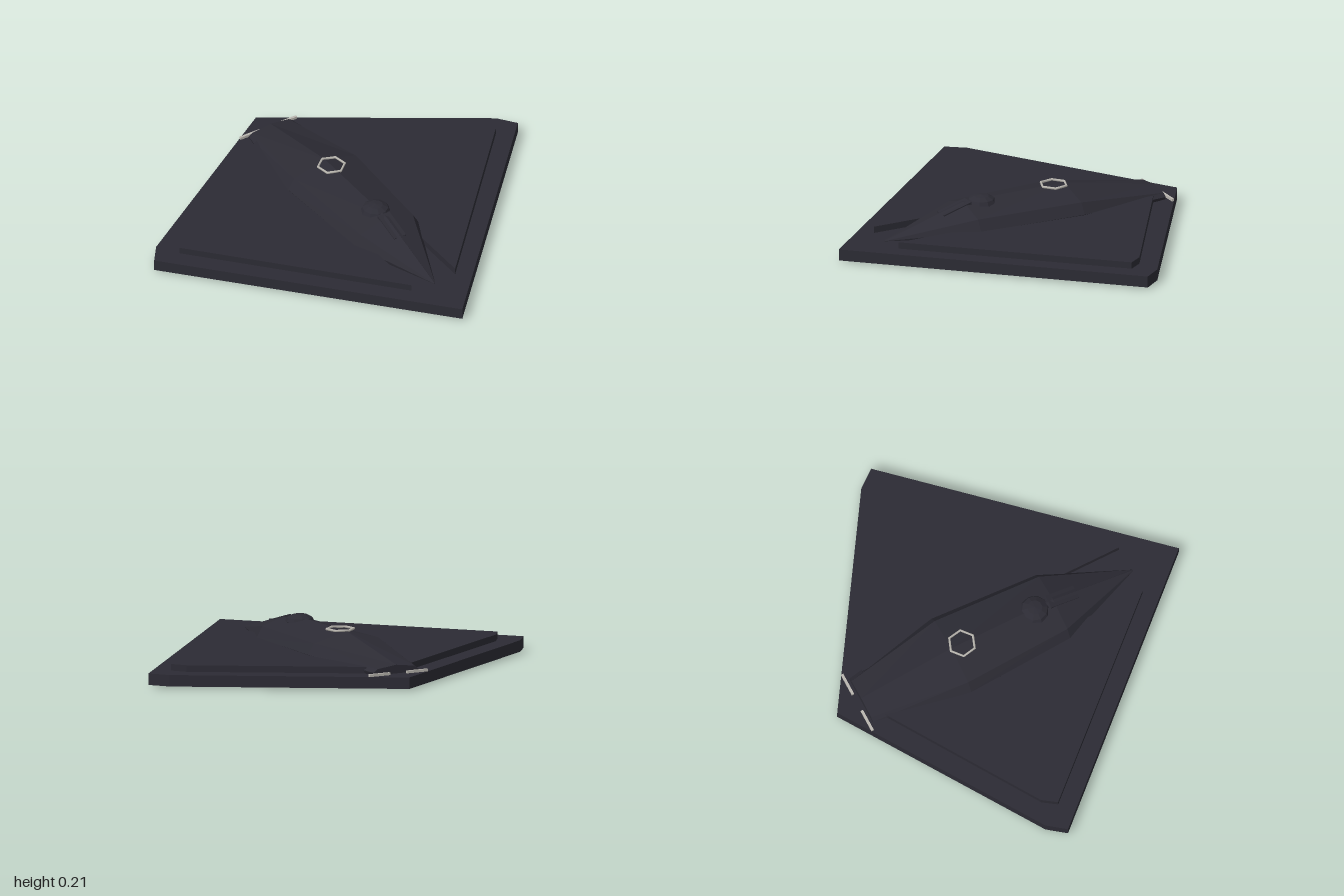
import * as THREE from 'three';

export function createModel() {
  const hull = new THREE.MeshStandardMaterial({ color: 0x2c2b34 });
  hull.name = 'dark hull';
  hull.flatShading = true;
  const glow = new THREE.MeshStandardMaterial({ color: 0xbab7b0 });
  glow.name = 'pale trim';

  const model = new THREE.Group();
  model.name = 'deltaCraft';
  const add = (name, geometry, material, x = 0, y = 0, z = 0) => {
    const mesh = new THREE.Mesh(geometry, material);
    mesh.name = name;
    mesh.position.set(x, y, z);
    model.add(mesh);
    return mesh;
  };

  // Flat plate from an outline of [x, z] points
  const plate = (points, height) => {
    const shape = new THREE.Shape(points.map(([x, z]) => new THREE.Vector2(x, -z)));
    return new THREE.ExtrudeGeometry(shape, { depth: height, bevelEnabled: false }).rotateX(-Math.PI / 2);
  };

  // Diamond wing slab with clipped tips
  add('wingSlab', plate([[0, 0.89], [1, -0.2], [0.935, -0.285], [0, -0.89],
    [-0.935, -0.285], [-1, -0.2]], 0.054), hull, 0, 0.008, 0);

  // Fuselage: cross-sections [z, outer x, outer y, chine x, chine y, ridge y]
  const stations = [
    [0.65, 0.004, 0.063, 0.003, 0.064, 0.066],
    [0.235, 0.175, 0.092, 0.145, 0.143, 0.187],
    [-0.295, 0.203, 0.095, 0.17, 0.145, 0.19],
    [-0.765, 0.12, 0.075, 0.1, 0.09, 0.103],
  ];
  const rings = stations.map(([z, ox, oy, cx, cy, ry]) => [
    [ox * 0.95, 0.06, z], [ox, oy, z], [cx, cy, z], [0, ry, z],
    [-cx, cy, z], [-ox, oy, z], [-ox * 0.95, 0.06, z],
  ]);
  const positions = [];
  const tri = (a, b, c) => positions.push(...a, ...b, ...c);
  for (let i = 0; i < rings.length - 1; i++) {
    const front = rings[i], back = rings[i + 1];
    for (let j = 0; j < 7; j++) {
      const k = (j + 1) % 7;
      tri(front[j], back[j], back[k]);
      tri(front[j], back[k], front[k]);
    }
  }
  const nose = rings[0], tail = rings[rings.length - 1];
  for (let j = 1; j < 6; j++) {
    tri(nose[0], nose[j], nose[j + 1]);
    tri(tail[0], tail[j + 1], tail[j]);
  }
  const body = new THREE.BufferGeometry();
  body.setAttribute('position', new THREE.Float32BufferAttribute(positions, 3));
  body.computeVertexNormals();
  add('fuselage', body, hull);

  // Cockpit dome and the small fairing ahead of it
  add('cockpitDome', new THREE.SphereGeometry(0.07, 10, 6).scale(1, 0.53, 1), hull, 0, 0.168, 0.14);
  const fairing = add('noseFairing', new THREE.BoxGeometry(0.065, 0.02, 0.15), hull, 0, 0.159, 0.28);
  fairing.rotation.x = 0.285;

  // Six-sided ring on the spine
  add('spineRing', new THREE.TorusGeometry(0.064, 0.006, 6, 6)
    .rotateZ(Math.PI / 9).rotateX(Math.PI / 2), glow, 0, 0.191, -0.24);

  for (const side of [1, -1]) {
    const label = side > 0 ? 'left' : 'right';
    // Raised wing panel
    const outline = [[0.12, 0.64], [0.87, -0.185], [0.825, -0.25], [0.12, -0.7]];
    add(label + 'WingPanel', plate(outline.map(([x, z]) => [side * x, z]), 0.032), hull, 0, 0.061, 0);
    // Exhaust bar at the tail
    add(label + 'ExhaustBar', new THREE.BoxGeometry(0.11, 0.012, 0.012), glow, side * 0.1, 0.068, -0.785);
    // Light strip under the wing
    const strip = add(label + 'BellyStrip', new THREE.BoxGeometry(0.51, 0.009, 0.012),
      glow, side * 0.315, 0.0045, 0.132);
    strip.rotation.y = side * Math.atan2(0.305, 0.41);
  }
  return model;
}
